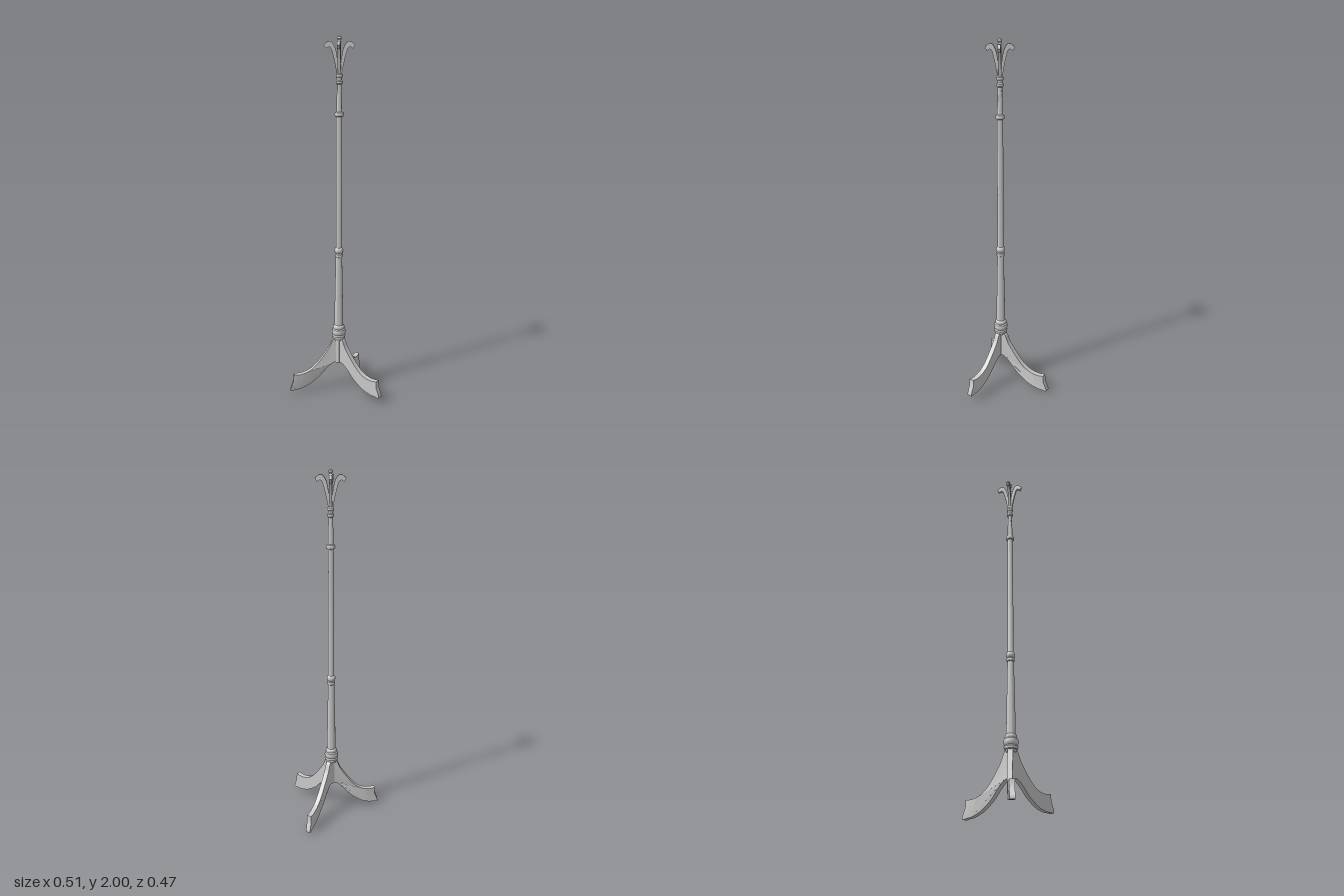
import * as THREE from 'three';
import { toCreasedNormals } from 'three/addons/utils/BufferGeometryUtils.js';

const material = new THREE.MeshStandardMaterial({ color: 0xcccccc });
const v2 = (pts) => pts.map(([x, y]) => new THREE.Vector2(x, y));

function addMesh(parent, name, geometry) {
  const mesh = new THREE.Mesh(geometry, material);
  mesh.name = name;
  parent.add(mesh);
  return mesh;
}

// Curved bracket: smooth edge, straight or curved tip, smooth edge back; then bent sideways
function bracket(edgeOut, edgeBack, width, bend = 0, stretch = 1, rise = 0) {
  const shape = new THREE.Shape();
  shape.moveTo(...edgeOut[0]);
  shape.splineThru(v2(edgeOut.slice(1)));
  shape.lineTo(...edgeBack[0]);
  shape.splineThru(v2(edgeBack.slice(1)));
  shape.closePath();
  const geometry = new THREE.ExtrudeGeometry(shape, { depth: width, bevelEnabled: false, curveSegments: 12 });
  geometry.translate(0, 0, -width / 2);
  const p = geometry.attributes.position;
  for (let i = 0; i < p.count; i++) {
    const r = p.getX(i) * stretch;
    p.setXYZ(i, r, p.getY(i) + rise * (r / 0.28), p.getZ(i) + bend * r * r);
  }
  return toCreasedNormals(geometry, 0.5);
}

export function createModel() {
  const model = new THREE.Group();
  model.name = 'coatStand';
  const stand = new THREE.Group();
  stand.name = 'stand';
  stand.position.set(0.027, 0, 0.037);
  model.add(stand);

  // Turned pole with base collar, rings and finial
  const profile = v2([
    [0, 0.31], [0.026, 0.31], [0.03, 0.322], [0.037, 0.325], [0.038, 0.338], [0.033, 0.345],
    [0.038, 0.352], [0.04, 0.365], [0.037, 0.378], [0.031, 0.383], [0.033, 0.39], [0.031, 0.399],
    [0.025, 0.405], [0.025, 0.45], [0.018, 0.80],
    [0.018, 0.812], [0.022, 0.815], [0.022, 0.83], [0.018, 0.835],
    [0.022, 0.84], [0.025, 0.85], [0.022, 0.862], [0.017, 0.867],
    [0.016, 1.588], [0.022, 1.591], [0.025, 1.601], [0.022, 1.611], [0.015, 1.615],
    [0.012, 1.755], [0.018, 1.76], [0.018, 1.772], [0.013, 1.777],
    [0.014, 1.788], [0.018, 1.793], [0.018, 1.806], [0.012, 1.812],
    [0.009, 1.90], [0.007, 1.965], [0.011, 1.971], [0.007, 1.977],
    [0.012, 1.985], [0.01, 1.994], [0, 2.0],
  ]);
  addMesh(stand, 'pole', toCreasedNormals(new THREE.LatheGeometry(profile, 24), 0.6));

  // Block joining the legs
  const hub = addMesh(stand, 'legHub', toCreasedNormals(new THREE.CylinderGeometry(0.024, 0.024, 0.15, 6), 0.5));
  hub.position.y = 0.247;

  // Three swept legs, each slightly different in bend, reach and height
  const legTop = [[0, 0.325], [0.03, 0.32], [0.055, 0.268], [0.097, 0.205], [0.14, 0.153], [0.18, 0.124], [0.225, 0.112], [0.262, 0.115]];
  const legBottom = [[0.264, 0.075], [0.282, 0.02], [0.255, 0.019], [0.22, 0.024], [0.17, 0.045], [0.112, 0.09], [0.07, 0.138], [0.03, 0.172], [0, 0.172]];
  const legs = [
    { angle: Math.PI, bend: -0.5, stretch: 1, rise: 0 },
    { angle: 0.98, bend: -0.35, stretch: 1.06, rise: -0.017 },
    { angle: -0.712, bend: 0, stretch: 1.03, rise: 0.018 },
  ];
  legs.forEach(({ angle, bend, stretch, rise }, i) => {
    const leg = addMesh(stand, `leg${i + 1}`, bracket(legTop, legBottom, 0.028, bend, stretch, rise));
    leg.rotation.y = angle;
  });

  // Four hooks curling outward at the top
  const hookTop = [[0, 1.8], [0.008, 1.87], [0.02, 1.935], [0.04, 1.969], [0.06, 1.971], [0.081, 1.955]];
  const hookBottom = [[0.07, 1.935], [0.058, 1.944], [0.045, 1.938], [0.032, 1.90], [0.019, 1.84], [0.011, 1.8]];
  [-0.06, Math.PI / 2, Math.PI, -1.67].forEach((angle, i) => {
    const hook = addMesh(stand, `hook${i + 1}`, bracket(hookTop, hookBottom, 0.015, 0.5, i % 2 ? 0.92 : 1));
    hook.rotation.y = angle;
  });

  return model;
}
